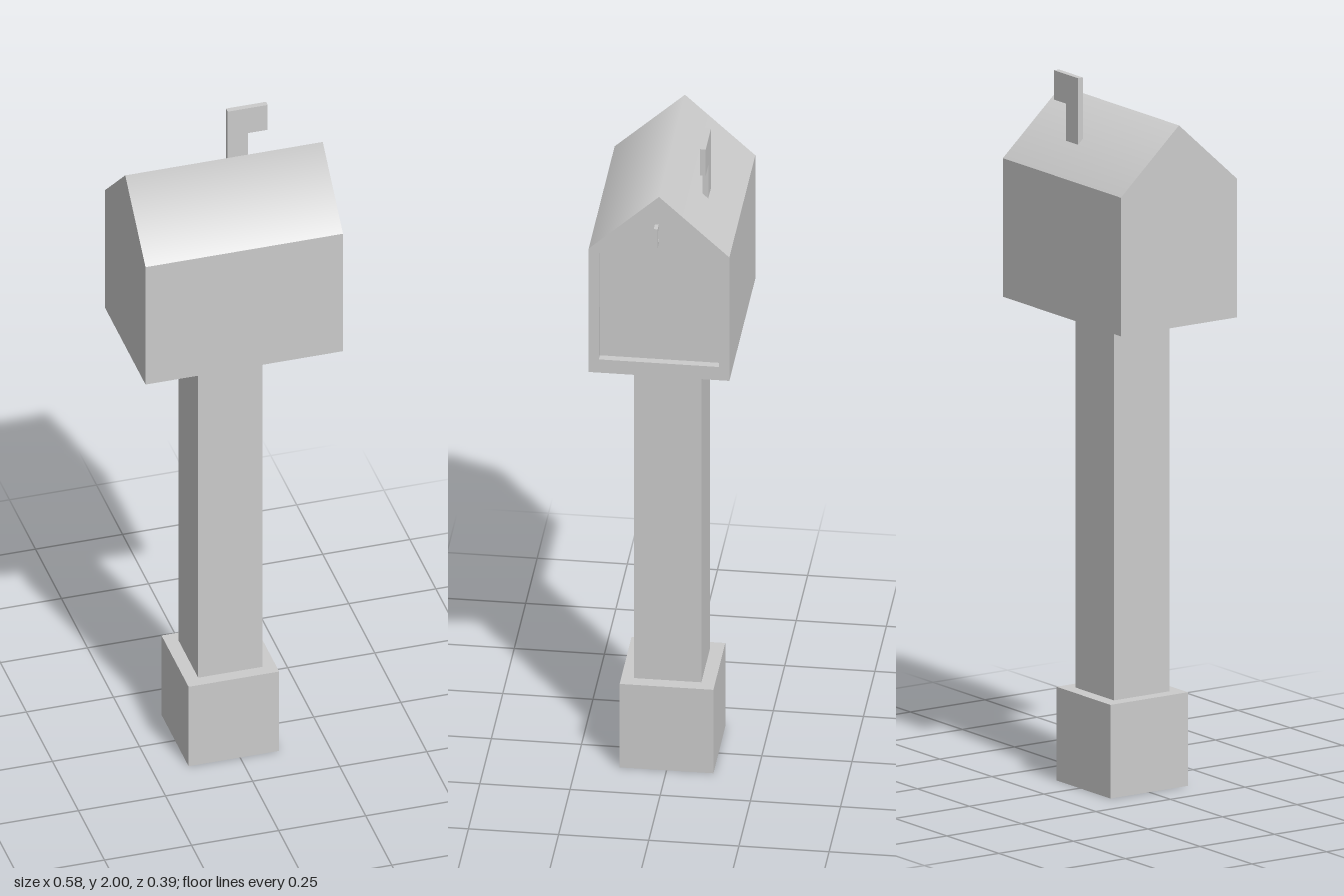
import * as THREE from 'three';

const material = new THREE.MeshStandardMaterial({ color: 0xcccccc });

function add(group, name, geometry) {
  const mesh = new THREE.Mesh(geometry, material);
  mesh.name = name;
  group.add(mesh);
}

// Box given by its lower and upper corners
function box([x0, y0, z0], [x1, y1, z1]) {
  return new THREE.BoxGeometry(x1 - x0, y1 - y0, z1 - z0)
    .translate((x0 + x1) / 2, (y0 + y1) / 2, (z0 + z1) / 2);
}

const outline = (points) => points.map(([a, b]) => new THREE.Vector2(a, b));

// House-shaped outline: half width, floor, eave and ridge heights
const house = (w, floor, eave, ridge) =>
  outline([[-w, floor], [w, floor], [w, eave], [0, ridge], [-w, eave]]);

// Extrude an end-on outline along x
function alongX(shape, x0, x1) {
  return new THREE.ExtrudeGeometry(shape, { depth: x1 - x0, bevelEnabled: false })
    .rotateY(Math.PI / 2).translate(x0, 0, 0);
}

// Blend the shading of the two roof slopes over the ridge
function softenRidge(geometry) {
  const { position, normal } = geometry.attributes;
  for (let i = 0; i < position.count; i++) {
    if (Math.abs(position.getZ(i)) < 0.001 && normal.getY(i) > 0.3) normal.setXYZ(i, 0, 1, 0);
  }
  return geometry;
}

export function createModel() {
  const group = new THREE.Group();

  // Base block and post
  add(group, 'base', box([-0.148, 0, -0.13], [0.112, 0.265, 0.13]));
  add(group, 'post', box([-0.11, 0.265, -0.092], [0.075, 1.345, 0.095]));

  // Box with pitched roof, and the raised rim around its door
  const outer = house(0.195, 1.345, 1.737, 1.915);
  const back = 0.253, front = 0.276;
  add(group, 'mailboxBody', softenRidge(alongX(new THREE.Shape(outer), -0.291, back)));
  const rim = new THREE.Shape(outer);
  rim.holes.push(new THREE.Path(house(0.167, 1.387, 1.724, 1.878)));
  add(group, 'doorRim', softenRidge(alongX(rim, back, front)));

  // Upper flap, standing slightly proud of the lower panel
  const flap = new THREE.Shape(outline([
    [-0.167, 1.545], [0, 1.615], [0.167, 1.545], [0.167, 1.724], [0, 1.878], [-0.167, 1.724],
  ]));
  add(group, 'doorFlap', alongX(flap, back, 0.263));

  // C-shaped door handle
  const handle = new THREE.Shape(outline([
    [0.262, 1.76], [0.29, 1.76], [0.29, 1.82], [0.262, 1.82],
    [0.262, 1.808], [0.279, 1.808], [0.279, 1.772], [0.262, 1.772],
  ]));
  add(group, 'doorHandle',
    new THREE.ExtrudeGeometry(handle, { depth: 0.011, bevelEnabled: false }).translate(0, 0, 0.002));

  // Signal flag rising from the rear roof slope
  const flag = new THREE.Shape(outline([
    [0.032, 1.79], [0.09, 1.79], [0.09, 1.917], [0.147, 1.917], [0.147, 2], [0.032, 2],
  ]));
  add(group, 'flag',
    new THREE.ExtrudeGeometry(flag, { depth: 0.016, bevelEnabled: false }).translate(0, 0, -0.113));

  return group;
}
